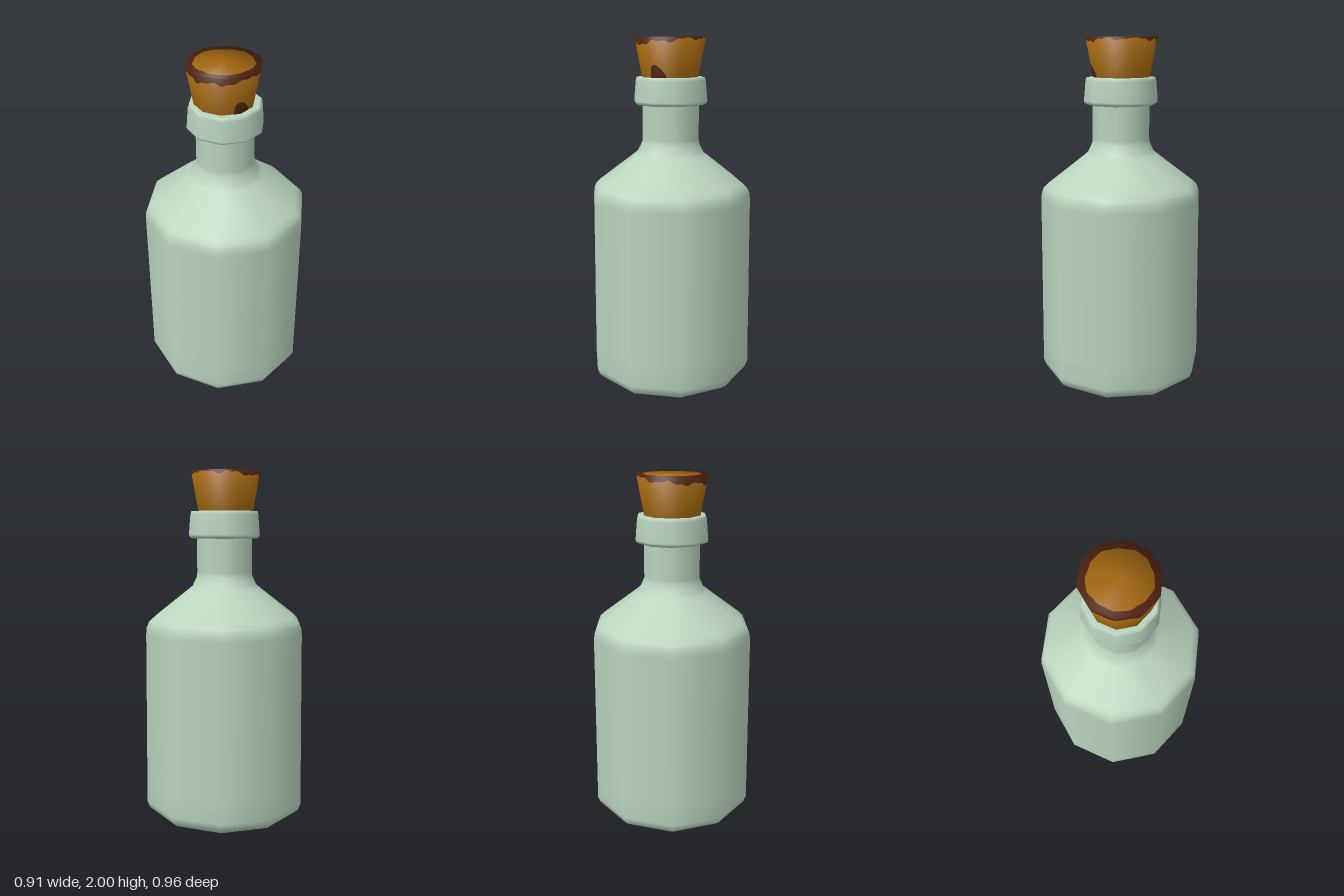
import * as THREE from 'three';

const SIDES = 10;
const CORK = { x: -0.007, bottom: 1.72, top: 2, rBottom: 0.153, rTop: 0.205 };

const glass = new THREE.MeshStandardMaterial({ name: 'pale green glass', color: 0xb9d4bf });
const amber = new THREE.MeshStandardMaterial({ name: 'amber cork', color: 0xa0660f });
const brown = new THREE.MeshStandardMaterial({ name: 'dark brown stain', color: 0x4f2311 });

// Ten-sided smooth solid of revolution, with corners on the z axis
function turned(name, points) {
  const profile = points.map(([r, y]) => new THREE.Vector2(r, y));
  const mesh = new THREE.Mesh(new THREE.LatheGeometry(profile, SIDES), glass);
  mesh.name = name;
  return mesh;
}

// Distance to the decagon's edge at an angle, for a corner radius of 1
function decagon(phi) {
  const step = (Math.PI * 2) / SIDES;
  const a = ((phi % step) + step) % step;
  return Math.cos(step / 2) / Math.cos(a - step / 2);
}

// Point and softly rounded normal on the cork's tapered side
function sidePoint(phi, y, lift) {
  const t = (y - CORK.bottom) / (CORK.top - CORK.bottom);
  const r = THREE.MathUtils.lerp(CORK.rBottom, CORK.rTop, t) * decagon(phi) + lift;
  const up = THREE.MathUtils.lerp(-0.35, 0.5, t);
  const s = Math.sin(phi), c = Math.cos(phi);
  return { p: [r * s, y, r * c], n: new THREE.Vector3(s, up, c).normalize().toArray() };
}

// Point and softly rounded normal on the cork's flat top
function topPoint(phi, r) {
  const s = Math.sin(phi), c = Math.cos(phi), k = (r / CORK.rTop) * 0.8;
  return { p: [r * s, CORK.top, r * c], n: new THREE.Vector3(k * s, 0.6, k * c).normalize().toArray() };
}

// Strip between two curves, given as functions of the angle
function strip(name, material, lower, upper, from = 0, to = Math.PI * 2, steps = 120) {
  const positions = [], normals = [], index = [];
  for (let i = 0; i <= steps; i++) {
    const phi = from + ((to - from) * i) / steps;
    for (const v of [lower(phi), upper(phi)]) {
      positions.push(...v.p);
      normals.push(...v.n);
    }
    if (i < steps) {
      const a = i * 2;
      index.push(a, a + 2, a + 1, a + 1, a + 2, a + 3);
    }
  }
  const geometry = new THREE.BufferGeometry();
  geometry.setAttribute('position', new THREE.Float32BufferAttribute(positions, 3));
  geometry.setAttribute('normal', new THREE.Float32BufferAttribute(normals, 3));
  geometry.setIndex(index);
  const mesh = new THREE.Mesh(geometry, material);
  mesh.name = name;
  return mesh;
}

function createCork() {
  const cork = new THREE.Group();
  cork.name = 'cork';
  cork.position.x = CORK.x;

  // Uneven edges of the stain on the side and on the top
  const stainY = (phi) => CORK.top - Math.max(0.006,
    0.026 - 0.018 * Math.cos(phi - 2.35) + 0.008 * Math.sin(phi * 7) + 0.005 * Math.sin(phi * 17 + 1));
  const discR = (phi) => 0.161 + 0.003 * Math.sin(phi * 5 + 1) + 0.002 * Math.sin(phi * 13);
  const rim = (phi) => topPoint(phi, CORK.rTop * decagon(phi));

  cork.add(
    strip('corkSide', amber, (a) => sidePoint(a, CORK.bottom, 0), (a) => sidePoint(a, stainY(a), 0)),
    strip('corkSideStain', brown, (a) => sidePoint(a, stainY(a), 0), (a) => sidePoint(a, CORK.top, 0)),
    strip('corkTopStain', brown, rim, (a) => topPoint(a, discR(a))),
    strip('corkTop', amber, (a) => topPoint(a, discR(a)), (a) => topPoint(a, 0)),
  );

  // Small stain low on the side
  const from = 0.42, to = 1.02;
  const patchTop = (phi) => {
    const t = (phi - from) / (to - from);
    return 1.775 + 0.085 * Math.pow(Math.sin(Math.PI * Math.pow(t, 0.7)), 0.6) * (1 - 0.35 * t);
  };
  cork.add(strip('corkSpot', brown, (a) => sidePoint(a, 1.77, 0.002),
    (a) => sidePoint(a, patchTop(a), 0.002), from, to, 20));
  return cork;
}

export function createModel() {
  const model = new THREE.Group();
  model.name = 'corkedBottle';

  // Body, shoulder and neck
  model.add(turned('bottleBody', [
    [0, 0], [0.41, 0], [0.435, 0.005], [0.465, 0.03], [0.48, 0.07], [0.478, 0.2],
    [0.469, 1.08], [0.465, 1.12], [0.452, 1.15], [0.425, 1.175],
    [0.215, 1.335], [0.192, 1.355], [0.168, 1.405], [0.165, 1.43], [0.165, 1.65],
  ]));

  // Raised lip around the mouth
  model.add(turned('bottleLip', [
    [0.155, 1.624], [0.195, 1.624], [0.209, 1.632], [0.213, 1.645],
    [0.203, 1.76], [0.198, 1.776], [0.19, 1.778], [0.14, 1.778],
  ]));

  model.add(createCork());
  return model;
}
